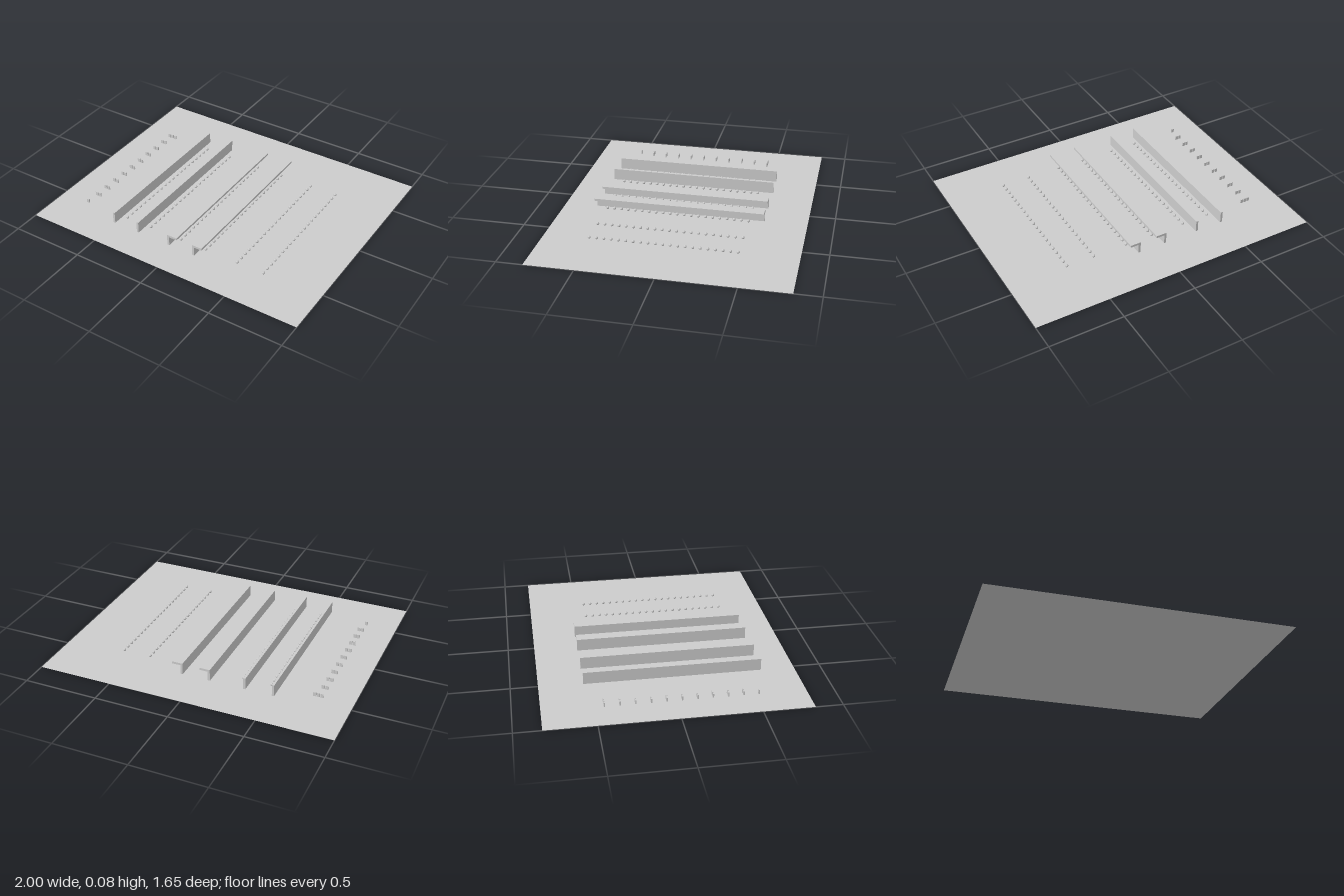
import * as THREE from 'three';

export function createModel() {
  const root = new THREE.Group();
  const mat = new THREE.MeshStandardMaterial({ color: 0xcccccc });
  const add = (parent, name, geo, x, y, z, material = mat) => {
    const m = new THREE.Mesh(geo, material);
    m.name = name;
    m.position.set(x, y, z);
    parent.add(m);
    return m;
  };
  const group = (name) => {
    const g = new THREE.Group();
    g.name = name;
    root.add(g);
    return g;
  };

  // flat ground sheet, zero thickness
  const sheetMat = mat.clone();
  sheetMat.side = THREE.DoubleSide;
  const sheet = new THREE.PlaneGeometry(2, 1.654).rotateX(-Math.PI / 2);
  add(root, 'groundSheet', sheet, 0, 0, 0, sheetMat);

  // long barriers: extruded along z from z0 to z0 + length
  const length = 1.15, z0 = -0.543, h = 0.08, t = 0.015, reach = 0.073;
  const extrude = (pts) => new THREE.ExtrudeGeometry(
    new THREE.Shape(pts.map(([x, y]) => new THREE.Vector2(x, y))),
    { depth: length, bevelEnabled: false });
  const straight = extrude([[0, 0], [t, 0], [t, h], [0, h]]);
  const overhang = extrude([[0, 0], [t, 0], [t, h - t], [reach, h - t], [reach, h], [0, h]]);
  for (const x of [-0.513, -0.32]) add(root, 'straightWall', straight, x, 0, z0);
  for (const x of [-0.075, 0.117]) add(root, 'overhangWall', overhang, x, 0, z0);

  // six rows of small balls, two for each kind of setting
  const first = -0.44, span = 0.964;
  const ball = new THREE.SphereGeometry(0.01, 16, 12);
  for (const x of [-0.458, -0.266, -0.025, 0.167, 0.404, 0.596]) {
    const row = group('ballRow');
    for (let i = 0; i <= 20; i++) add(row, 'ball', ball, x, 0.011, first + (span * i) / 20);
  }

  // small upright distance markers: three tabs at the back, one at the front
  const tab = new THREE.BoxGeometry(0.019, 0.027, 0.008);
  const markers = group('distanceMarkers');
  for (let i = 0; i <= 10; i++) {
    const count = i === 0 ? 3 : i === 10 ? 1 : 2;
    for (let k = 0; k < count; k++)
      add(markers, 'markerTab', tab, -0.792 + 0.024 * k, 0.0145, first + (span * i) / 10);
  }
  return root;
}
